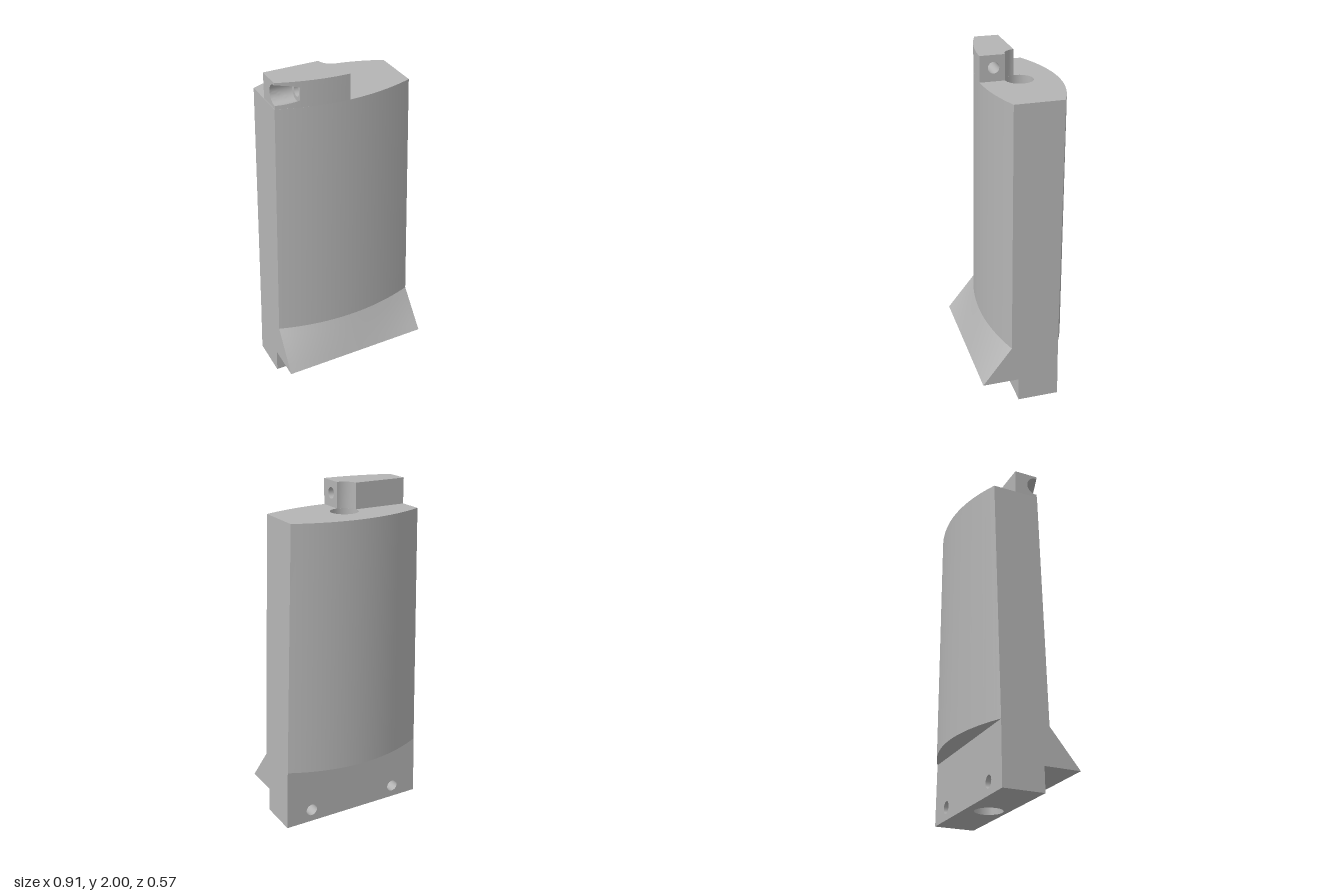
import * as THREE from 'three';
import { toCreasedNormals } from 'three/addons/utils/BufferGeometryUtils.js';

const V = (x, y, z) => new THREE.Vector3(x, y, z);
const range = (n, fn) => Array.from({ length: n + 1 }, (_, i) => fn(i / n));

// Key heights and tapering dimensions of the block
const LEDGE = 0.145, SHOULDER = 0.37, TOP = 1.85, TAB_TOP = 2;
const BACK = -0.175, BASE_FRONT = 0.07, LIP = 0.287, BORE_R = 0.082;
const halfW = y => 0.457 - 0.0285 * y;
const boreZ = y => -0.038 - 0.0135 * y;

// Curved front and back edges at height y, for u from -1 to 1
const frontPoint = (u, y) => V(u * halfW(y), y, 0.115 - 0.0135 * y + 0.075 * (1 - u * u));
const backPoint = (u, y) => {
  const edge = -0.17 - 0.0135 * y;
  return V(u * halfW(y), y, edge + (-0.287 - edge) * (1 - u * u));
};
const frontArc = y => range(24, t => frontPoint(2 * t - 1, y));
const backArc = y => range(24, t => backPoint(1 - 2 * t, y));

// 2D circle arc; a full circle leaves out its repeated last point
const arc2 = (cx, cy, r, a0, a1, n) => range(n, t => {
  const a = a0 + (a1 - a0) * t;
  return new THREE.Vector2(cx + r * Math.cos(a), cy + r * Math.sin(a));
});
const circle2 = (cx, cy, r, n = 20) => arc2(cx, cy, r, 0, Math.PI * 2, n).slice(0, n);
const P = list => list.map(([a, b]) => new THREE.Vector2(a, b));

// Collects triangles, turning each one toward a wanted direction
class Surface {
  constructor() { this.points = []; }
  tri(a, b, c, facing) {
    const n = b.clone().sub(a).cross(c.clone().sub(a));
    if (n.lengthSq() < 1e-16) return;
    const mid = a.clone().add(b).add(c).divideScalar(3);
    this.points.push(...(n.dot(facing(mid)) < 0 ? [a, c, b] : [a, b, c]));
  }
  strip(A, B, facing) {
    for (let i = 0; i + 1 < A.length; i++) {
      this.tri(A[i], A[i + 1], B[i + 1], facing);
      this.tri(A[i], B[i + 1], B[i], facing);
    }
  }
  face(outline, holes, map, normal) {
    const all = [...outline, ...holes.flat()].map(p => map(p.x, p.y));
    for (const [a, b, c] of THREE.ShapeUtils.triangulateShape(outline, holes))
      this.tri(all[a], all[b], all[c], () => normal);
  }
  mesh(name, material) {
    const g = new THREE.BufferGeometry().setFromPoints(this.points);
    const m = new THREE.Mesh(toCreasedNormals(g, 0.5), material);
    m.name = name;
    return m;
  }
}

const X = V(1, 0, 0), Y = V(0, 1, 0), Z = V(0, 0, 1);
const neg = v => v.clone().negate();
const flat = (pts) => pts.map(p => new THREE.Vector2(p.x, p.z));

// Foot with cross holes, ledge and flared front lip
function makeRoot() {
  const s = new Surface();
  const w0 = halfW(0), w1 = halfW(LEDGE), w2 = halfW(SHOULDER);
  const holeXs = [-0.29, 0.29], holeY = 0.075, holeR = 0.036;
  const holes = holeXs.map(x => circle2(x, holeY, holeR));
  s.face(P([[-w0, 0], [w0, 0], [w2, SHOULDER], [-w2, SHOULDER]]), holes, (x, y) => V(x, y, BACK), neg(Z));
  s.face(P([[-w0, 0], [w0, 0], [w1, LEDGE], [-w1, LEDGE]]), holes, (x, y) => V(x, y, BASE_FRONT), Z);
  for (const x of holeXs) {
    const ring = arc2(x, holeY, holeR, 0, Math.PI * 2, 20);
    s.strip(ring.map(p => V(p.x, p.y, BACK)), ring.map(p => V(p.x, p.y, BASE_FRONT)),
      m => V(x - m.x, holeY - m.y, 0));
  }
  s.face(P([[-w0, BACK], [w0, BACK], [w0, BASE_FRONT], [-w0, BASE_FRONT]]),
    [circle2(0, boreZ(0), BORE_R)], (x, z) => V(x, 0, z), neg(Y));
  s.face(P([[-w1, BASE_FRONT], [w1, BASE_FRONT], [w1, LIP], [-w1, LIP]]), [], (x, z) => V(x, LEDGE, z), neg(Y));
  const side = P([[BACK, 0], [BASE_FRONT, 0], [BASE_FRONT, LEDGE], [LIP, LEDGE],
    [frontPoint(1, SHOULDER).z, SHOULDER], [BACK, SHOULDER]]);
  for (const k of [-1, 1]) s.face(side, [], (z, y) => V(k * halfW(y), y, z), V(k, 0, 0));
  // Flare blends from the curved front to the straight lip
  const rows = range(6, t => frontArc(SHOULDER).map((p, i, a) =>
    p.clone().lerp(V((2 * i / (a.length - 1) - 1) * w1, LEDGE, LIP), t)));
  for (let i = 0; i < 6; i++) s.strip(rows[i], rows[i + 1], () => Z);
  return s;
}

// Tapered body with bulging front and back
function makeBody() {
  const s = new Surface();
  s.strip(frontArc(SHOULDER), frontArc(TOP), () => Z);
  s.strip(backArc(SHOULDER), backArc(TOP), () => neg(Z));
  for (const k of [-1, 1])
    s.strip([frontPoint(k, SHOULDER), backPoint(k, SHOULDER)], [frontPoint(k, TOP), backPoint(k, TOP)], () => V(k, 0, 0));
  s.face(flat([...frontArc(TOP), ...backArc(TOP)]), [circle2(0, boreZ(TOP), BORE_R)], (x, z) => V(x, TOP, z), Y);
  // Underside of the back bulge
  s.face(flat(backArc(SHOULDER)), [], (x, z) => V(x, SHOULDER, z), neg(Y));
  return s;
}

// Long slightly slanted bore through body and foot
function makeBore() {
  const s = new Surface();
  const ring = y => arc2(0, boreZ(y), BORE_R, 0, Math.PI * 2, 20).map(p => V(p.x, y, p.y));
  s.strip(ring(0), ring(TOP), m => V(-m.x, 0, boreZ(m.y) - m.z));
  return s;
}

// Half-width tab on top with a counterbored cross hole
function makeTab() {
  const s = new Surface();
  const w = 0.402, back = -0.053, cz = 0.085, cy = 1.928, big = 0.058, small = 0.033, stop = -0.275;
  const frontZ = x => 0.09 + 0.075 * (1 - (x / w) ** 2);
  const open = x => Math.acos((frontZ(x) - cz) / big);
  const pocket = x => arc2(cz, cy, big, -open(x), open(x) - 2 * Math.PI, 24);
  const zy = x => (z, y) => V(x, y, z);
  const cut = range(8, t => -w + (stop + w) * t), plain = range(12, t => stop * (1 - t));

  // Front skin, opened where the counterbore breaks through
  const row = (xs, fy) => xs.map(x => V(x, fy(x), frontZ(x)));
  const half = x => big * Math.sin(open(x));
  s.strip(row(cut, () => TOP), row(cut, x => cy - half(x)), () => Z);
  s.strip(row(cut, x => cy + half(x)), row(cut, () => TAB_TOP), () => Z);
  s.strip(row(plain, () => TOP), row(plain, () => TAB_TOP), () => Z);

  // Back face and the hollow left by the bore
  const bz = boreZ(TOP);
  const hollow = arc2(0, bz, BORE_R, Math.PI / 2, Math.PI - Math.asin((back - bz) / BORE_R), 8);
  const at = (pts, y) => pts.map(p => V(p.x, y, p.y));
  s.strip(at(hollow, TOP), at(hollow, TAB_TOP), m => V(-m.x, 0, bz - m.z));
  const rear = [hollow[8], new THREE.Vector2(-w, back)];
  s.strip(at(rear, TOP), at(rear, TAB_TOP), () => neg(Z));
  s.face([...P([...cut, ...plain.slice(1)].map(x => [x, frontZ(x)])), ...hollow, rear[1]], [],
    (x, z) => V(x, TAB_TOP, z), Y);

  // Inner end, outer end and the stepped hole between them
  const z0 = bz + BORE_R, z1 = frontZ(0), ze = frontZ(-w);
  s.face(P([[z0, TOP], [z1, TOP], [z1, TAB_TOP], [z0, TAB_TOP]]), [circle2(cz, cy, small)], zy(0), X);
  s.face([...P([[back, TOP], [ze, TOP]]), ...pocket(-w), ...P([[ze, TAB_TOP], [back, TAB_TOP]])], [], zy(-w), neg(X));
  s.face(pocket(stop), [circle2(cz, cy, small)], zy(stop), neg(X));
  const inward = m => V(0, cy - m.y, cz - m.z);
  const rings = cut.map(x => pocket(x).map(p => V(x, p.y, p.x)));
  for (let i = 0; i < 8; i++) s.strip(rings[i], rings[i + 1], inward);
  const ring = x => arc2(cz, cy, small, 0, Math.PI * 2, 20).map(p => V(x, p.y, p.x));
  s.strip(ring(stop), ring(0), inward);
  return s;
}

export function createModel() {
  const grey = new THREE.MeshStandardMaterial({ color: 0xb4b4b4 });
  grey.name = 'plain grey';
  const group = new THREE.Group();
  group.name = 'taperedBlock';
  group.add(
    makeRoot().mesh('flaredFoot', grey),
    makeBody().mesh('body', grey),
    makeBore().mesh('centreBore', grey),
    makeTab().mesh('topTab', grey),
  );
  return group;
}
